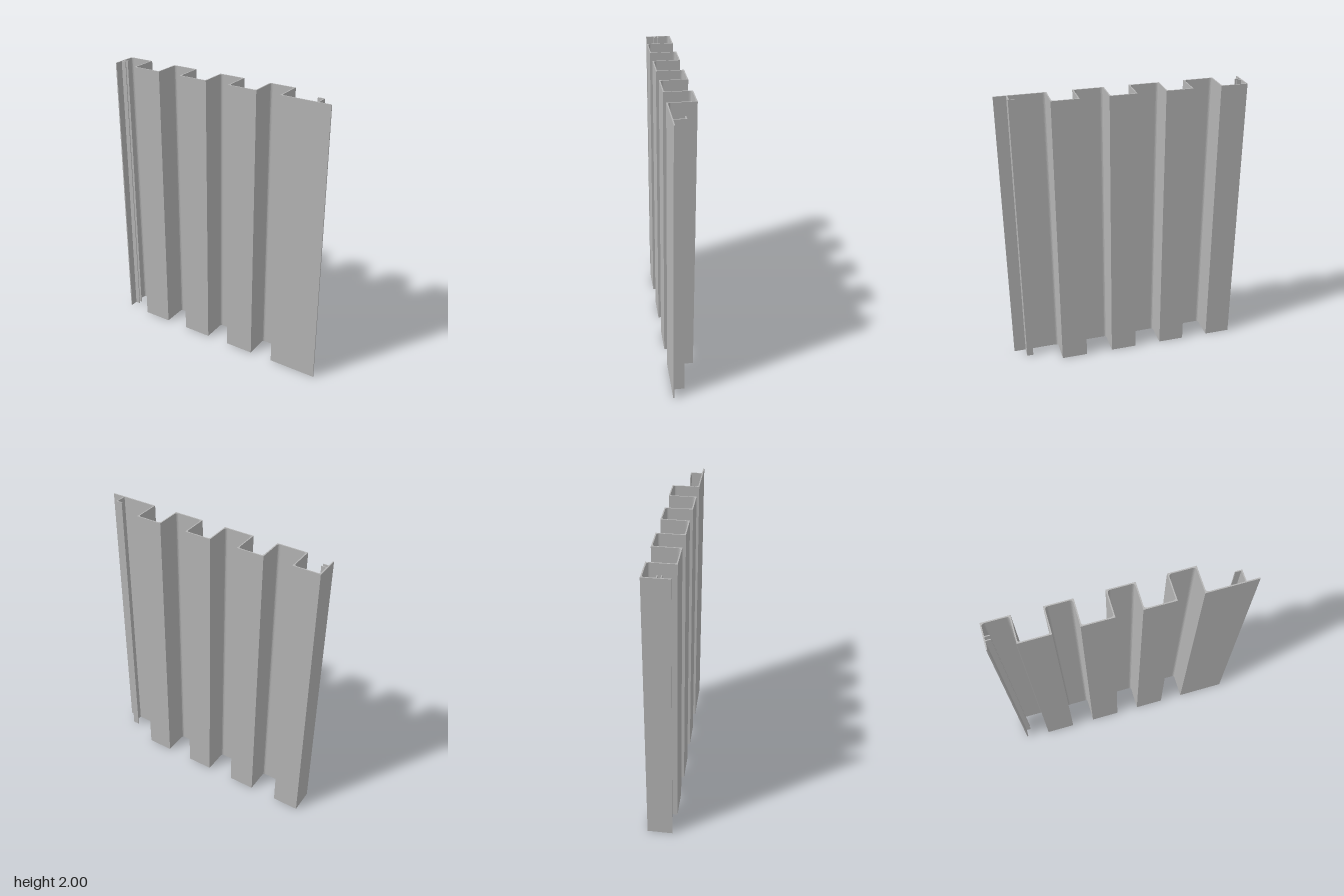
import * as THREE from 'three';

const HEIGHT = 2, T = 0.008, Z = 0.093, FILLET = 0.02;

// Extrudes an outline of [x, z, rounded?] corners upward from y = 0.
function extrudeOutline(name, points, material) {
  const shape = new THREE.Shape();
  const v = points.map(([x, z]) => new THREE.Vector2(x, -z));
  points.forEach(([, , rounded], i) => {
    const p = v[i];
    if (i === 0) { shape.moveTo(p.x, p.y); return; }
    if (!rounded) { shape.lineTo(p.x, p.y); return; }
    const toward = (q) => q.clone().sub(p).setLength(FILLET).add(p);
    const a = toward(v[i - 1]), b = toward(v[i + 1]);
    shape.lineTo(a.x, a.y);
    shape.quadraticCurveTo(p.x, p.y, b.x, b.y);
  });
  shape.closePath();
  const geometry = new THREE.ExtrudeGeometry(shape, { depth: HEIGHT, bevelEnabled: false, curveSegments: 6 });
  geometry.rotateX(-Math.PI / 2);
  const mesh = new THREE.Mesh(geometry, material);
  mesh.name = name;
  return mesh;
}

// Full-height flat strip spanning the given x and z ranges.
function strip(name, x0, x1, z0, z1, material) {
  const mesh = new THREE.Mesh(new THREE.BoxGeometry(x1 - x0, HEIGHT, z1 - z0), material);
  mesh.position.set((x0 + x1) / 2, HEIGHT / 2, (z0 + z1) / 2);
  mesh.name = name;
  return mesh;
}

export function createModel() {
  const steel = new THREE.MeshStandardMaterial({ color: 0xb4b4b4 });
  steel.name = 'grey steel';
  const group = new THREE.Group();
  group.name = 'corrugatedSheetPile';

  // Four troughs: outer front-face edges of each recess, left to right
  const pitch = 0.378, inner = Z - T;
  const front = [], back = [];
  for (let i = 0; i < 4; i++) {
    const l = i === 0 ? -0.819 : -0.82 + i * pitch;
    const r = -0.651 + i * pitch;
    if (i === 0) front.push([l, 0.08]);
    else front.push([l, Z]);
    front.push([l, -inner, true], [r, -inner, true], [r, Z]);

    if (i === 0) back.push([l - T + 0.001, 0.08]);
    else back.push([l - T, inner, true]);
    back.push([l - T, -Z], [r + T, -Z], [r + T, inner, true]);
  }
  front.push([0.826, Z]);
  back.push([0.826, inner]);
  // Keep the free edge of the first wall straight
  back[0][0] = back[1][0];
  group.add(extrudeOutline('corrugatedSheet', [...front, ...back.reverse()], steel));

  // Receiving slot: two lips on the left end wall
  group.add(strip('slotLipBack', -0.822, -0.786, -0.006, 0, steel));
  group.add(strip('slotLipFront', -0.822, -0.786, 0.02, 0.026, steel));

  // Interlocking hook behind the right flange
  group.add(strip('hookWall', 0.734, 0.742, 0.006, 0.089, steel));
  group.add(strip('hookLip', 0.696, 0.736, 0.006, 0.013, steel));

  return group;
}
